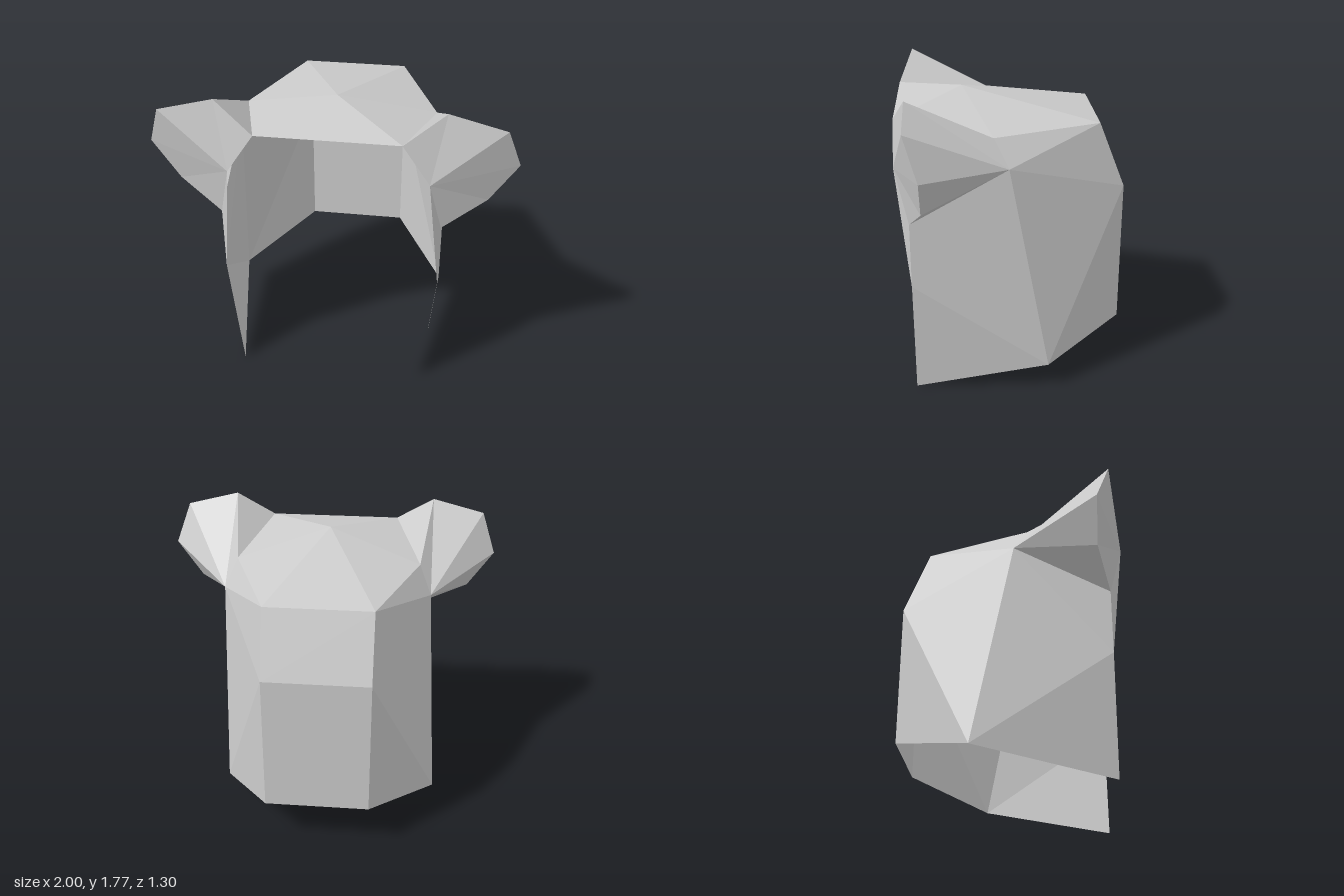
import * as THREE from 'three';

// Corner points of the +x half; the other half is mirrored.
const P = {
  peak: [0, 1.69, 0.27],
  brow: [0.39, 1.61, 0.65],
  temple: [0.54, 1.54, 0.11],
  crownBack: [0.305, 1.54, -0.5],
  backTop: [0.305, 1.16, -0.65],
  backHem: [0.305, 0.31, -0.65],
  sideHem: [0.61, 0.16, -0.2],
  frontHem: [0.54, 0, 0.575],
  cheek: [0.61, 0.7, 0.575],
  cheekbone: [0.54, 1.385, 0.65],
  earRoot: [0.61, 1.385, 0.03],
  earBase: [0.61, 1.08, 0.575],
  earTop: [0.61, 1.77, 0.575],
  earTip: [0.92, 1.69, 0.575],
  earSide: [1.0, 1.46, 0.5],
  earLow: [0.85, 1.235, 0.5],
};

// A trailing ' picks the mirrored point; the hem flares more on the -x side.
function point(name, mirror) {
  const flip = name.endsWith("'") !== mirror;
  const key = name.replace("'", '');
  const [x, y, z] = P[key];
  if (!flip) return [x, y, z];
  return [key === 'sideHem' ? -0.69 : -x, y, z];
}

// Flat-shaded panel from polygons, each split as a fan.
function panel(name, material, faces, mirror = false) {
  const pos = [];
  for (const face of faces) {
    const c = face.split(' ').map((n) => point(n, mirror));
    if (mirror) c.reverse();
    for (let i = 1; i < c.length - 1; i++) pos.push(...c[0], ...c[i], ...c[i + 1]);
  }
  const geometry = new THREE.BufferGeometry();
  geometry.setAttribute('position', new THREE.Float32BufferAttribute(pos, 3));
  geometry.computeVertexNormals();
  const mesh = new THREE.Mesh(geometry, material);
  mesh.name = name;
  return mesh;
}

export function createModel() {
  const group = new THREE.Group();
  group.name = 'earedHood';
  const cloth = new THREE.MeshStandardMaterial({ color: 0xcccccc, side: THREE.DoubleSide });
  cloth.name = 'light grey cloth';

  // Crown with a low peak
  group.add(panel('crown', cloth, [
    "peak brow' brow",
    'peak brow temple',
    'peak temple crownBack',
    "peak crownBack crownBack'",
    "peak crownBack' temple'",
    "peak temple' brow'",
  ]));

  // Back of the hood
  group.add(panel('back', cloth, [
    "crownBack' crownBack backTop backTop'",
    "backTop' backTop backHem backHem'",
  ]));

  for (const mirror of [false, true]) {
    const side = mirror ? 'right' : 'left';
    // Side flap
    group.add(panel(side + 'Side', cloth, [
      'cheek frontHem sideHem',
      'cheek sideHem earRoot',
      'earBase cheek earRoot',
      'cheekbone cheek earBase',
      'earRoot sideHem backTop',
      'sideHem backHem backTop',
      'earRoot backTop crownBack',
      'earRoot crownBack temple',
    ], mirror));
    // Ear, hollow and open towards the inside of the hood
    group.add(panel(side + 'Ear', cloth, [
      'cheekbone earBase earLow',
      'cheekbone earLow earSide',
      'cheekbone earSide earTip',
      'cheekbone earTip earTop',
      'cheekbone earTop brow',
      'earLow earBase earRoot',
      'earSide earLow earRoot',
      'earTip earSide earRoot',
      'earTop earTip earRoot',
      'temple earTop earRoot',
      'brow earTop temple',
    ], mirror));
  }
  return group;
}
